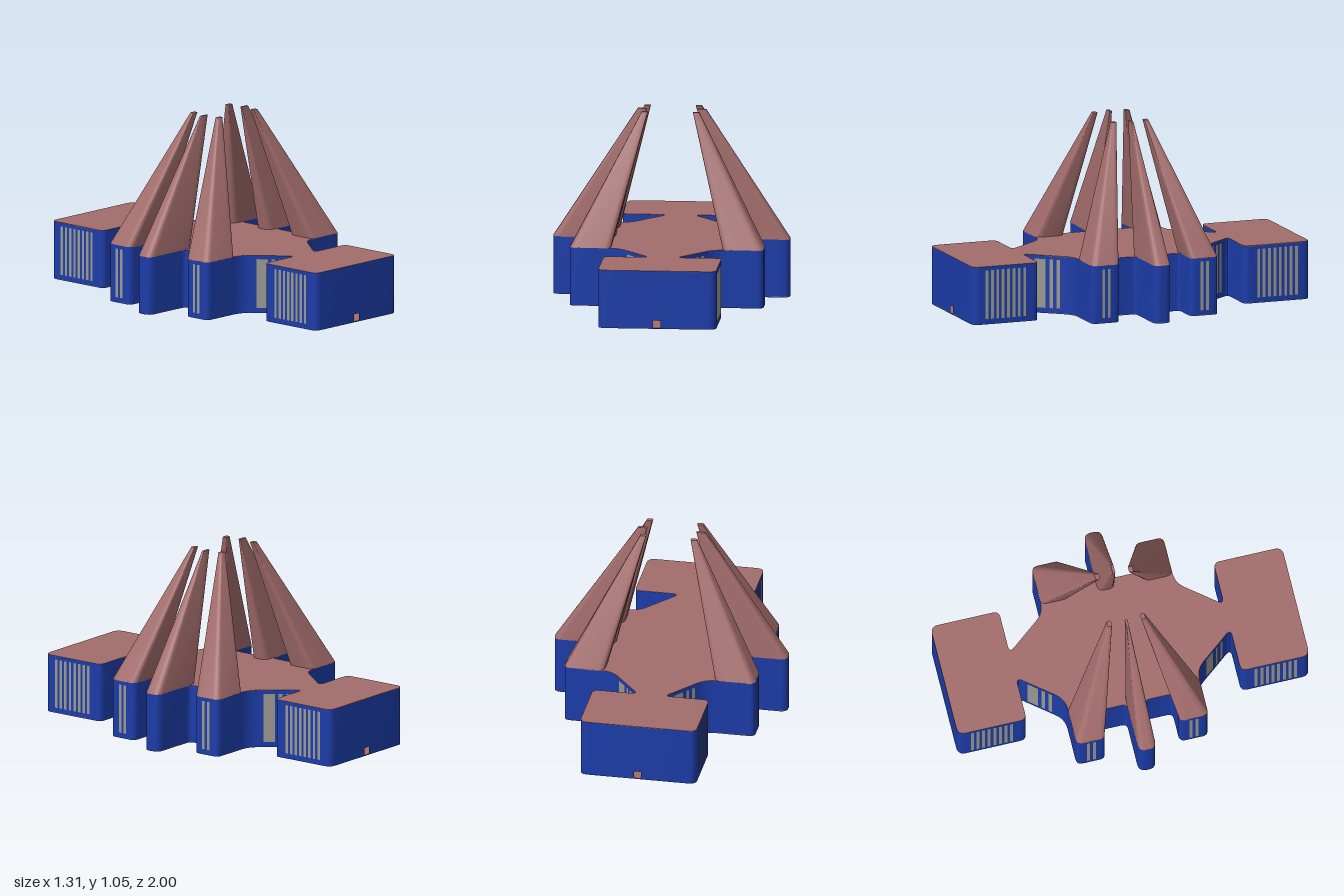
import * as THREE from 'three';
import { toCreasedNormals } from 'three/addons/utils/BufferGeometryUtils.js';

const paint = (color) => new THREE.MeshStandardMaterial({ color, side: THREE.DoubleSide });
const BASE = 0.325, TOP = 1.045, ROOF = 0.004;

// Rounds each corner [x, y, cut] of a closed outline and returns its points.
function roundedOutline(corners) {
  const points = [];
  const n = corners.length;
  corners.forEach(([x, y, cut], i) => {
    const p = new THREE.Vector2(x, y);
    if (!cut) return points.push(p);
    const toward = ([a, b]) => new THREE.Vector2(a, b).sub(p).setLength(cut).add(p);
    const from = toward(corners[(i + n - 1) % n]);
    const to = toward(corners[(i + 1) % n]);
    points.push(...new THREE.QuadraticBezierCurve(from, p, to).getPoints(6));
  });
  return points;
}

// Plan of the building: one quarter, mirrored to all four.
function planOutline() {
  const quarter = [
    [0.657, 0.05, 0.044], [0.37, 0.05, 0.03], [0.37, 0.21, 0.03],
    [0.537, 0.21, 0.035], [0.537, 0.375, 0.035], [0.262, 0.375, 0.06],
    [0.075, 0.61, 0.04], [0.327, 0.61, 0.035], [0.327, 1, 0.045], [0.02, 1, 0],
  ];
  const flip = (list, sx, sy) => list.map(([x, y, c]) => [x * sx, y * sy, c]);
  const back = [...quarter].reverse();
  return roundedOutline([
    ...quarter, ...flip(back, -1, 1), ...flip(quarter, -1, -1), ...flip(back, 1, -1),
  ]);
}

// Hollow wall following the plan, with a door opening in each end.
function wallGeometry(points) {
  const v = [];
  const quad = (a, b, lo, hi) => v.push(
    a.x, a.y, lo, b.x, b.y, lo, b.x, b.y, hi,
    a.x, a.y, lo, b.x, b.y, hi, a.x, a.y, hi);
  points.forEach((a, i) => {
    const b = points[(i + 1) % points.length];
    const isDoor = Math.abs(a.x) < 0.021 && Math.abs(b.x) < 0.021;
    if (isDoor) {
      quad(a, b, 0, 0.005);
      quad(a, b, 0.046, BASE);
    } else quad(a, b, 0, BASE);
  });
  const geo = new THREE.BufferGeometry();
  geo.setAttribute('position', new THREE.Float32BufferAttribute(v, 3));
  geo.rotateX(-Math.PI / 2);
  return toCreasedNormals(geo, 0.6);
}

// Rounded prism that narrows and leans from its foot to its tip.
function spireGeometry(foot, tip, w, d, cut) {
  const a = w / 2, b = d / 2, h = TOP - BASE;
  const shape = new THREE.Shape(roundedOutline(
    [[a, -b, cut], [a, b, cut], [-a, b, cut], [-a, -b, cut]]));
  const geo = new THREE.ExtrudeGeometry(shape, { depth: h, bevelEnabled: false });
  geo.rotateX(-Math.PI / 2);
  const pos = geo.attributes.position;
  for (let i = 0; i < pos.count; i++) {
    const t = pos.getY(i) / h;
    const s = 1 - 0.85 * t;
    pos.setXYZ(i,
      pos.getX(i) * s + THREE.MathUtils.lerp(foot[0], tip[0], t),
      BASE + pos.getY(i),
      pos.getZ(i) * s + THREE.MathUtils.lerp(foot[1], tip[1], t));
  }
  return toCreasedNormals(geo, 0.6);
}

export function createModel() {
  const model = new THREE.Group();
  const roofPaint = paint(0xa36c6c);
  const wallPaint = paint(0x1c3ca8);
  const glassPaint = new THREE.MeshStandardMaterial({ color: 0x9a9890 });
  const add = (name, geo, mat, parent = model) => {
    const mesh = new THREE.Mesh(geo, mat);
    mesh.name = name;
    parent.add(mesh);
    return mesh;
  };

  // Walls, floor and roof
  const outline = planOutline();
  add('walls', wallGeometry(outline), wallPaint);
  const slab = new THREE.ExtrudeGeometry(new THREE.Shape(outline), { depth: ROOF, bevelEnabled: false });
  slab.rotateX(-Math.PI / 2);
  add('floor', slab, roofPaint);
  add('roof', slab, roofPaint).position.y = BASE - ROOF + 0.001;

  // Three leaning spires on each side
  for (const side of [1, -1]) {
    add('middleSpire', spireGeometry([side * 0.484, 0], [side * 0.164, 0], 0.346, 0.1, 0.04), roofPaint);
    for (const end of [1, -1]) {
      add('cornerSpire', spireGeometry([side * 0.4235, end * 0.2925],
        [side * 0.142, end * 0.095], 0.227, 0.165, 0.035), roofPaint);
    }
  }

  // Tall window strips, repeated on the other side by a half turn
  const windows = new THREE.Group();
  windows.name = 'windows';
  const strip = (x, z, width, angle) => {
    const pane = add('windowStrip', new THREE.PlaneGeometry(width, 0.275), glassPaint, windows);
    pane.rotation.y = angle;
    pane.position.set(x + 0.002 * Math.sin(angle), 0.1675, z + 0.002 * Math.cos(angle));
  };
  for (const end of [1, -1]) {
    for (let i = 0; i < 8; i++) strip(0.327, end * (0.695 + i * 0.032), 0.017, Math.PI / 2);
    for (const z of [0.275, 0.308]) strip(0.537, end * z, 0.017, Math.PI / 2);
  }
  const slant = (z, width) => strip(0.075 + (0.61 - Math.abs(z)) * 0.796, z, width / 0.783,
    Math.atan2(0.235, 0.187 * Math.sign(z)));
  for (const [z, w] of [[0.53, 0.05], [0.478, 0.016], [0.446, 0.016],
    [-0.465, 0.05], [-0.514, 0.016], [-0.546, 0.016]]) slant(z, w);
  model.add(windows);
  const otherSide = windows.clone();
  otherSide.rotation.y = Math.PI;
  model.add(otherSide);

  return model;
}
